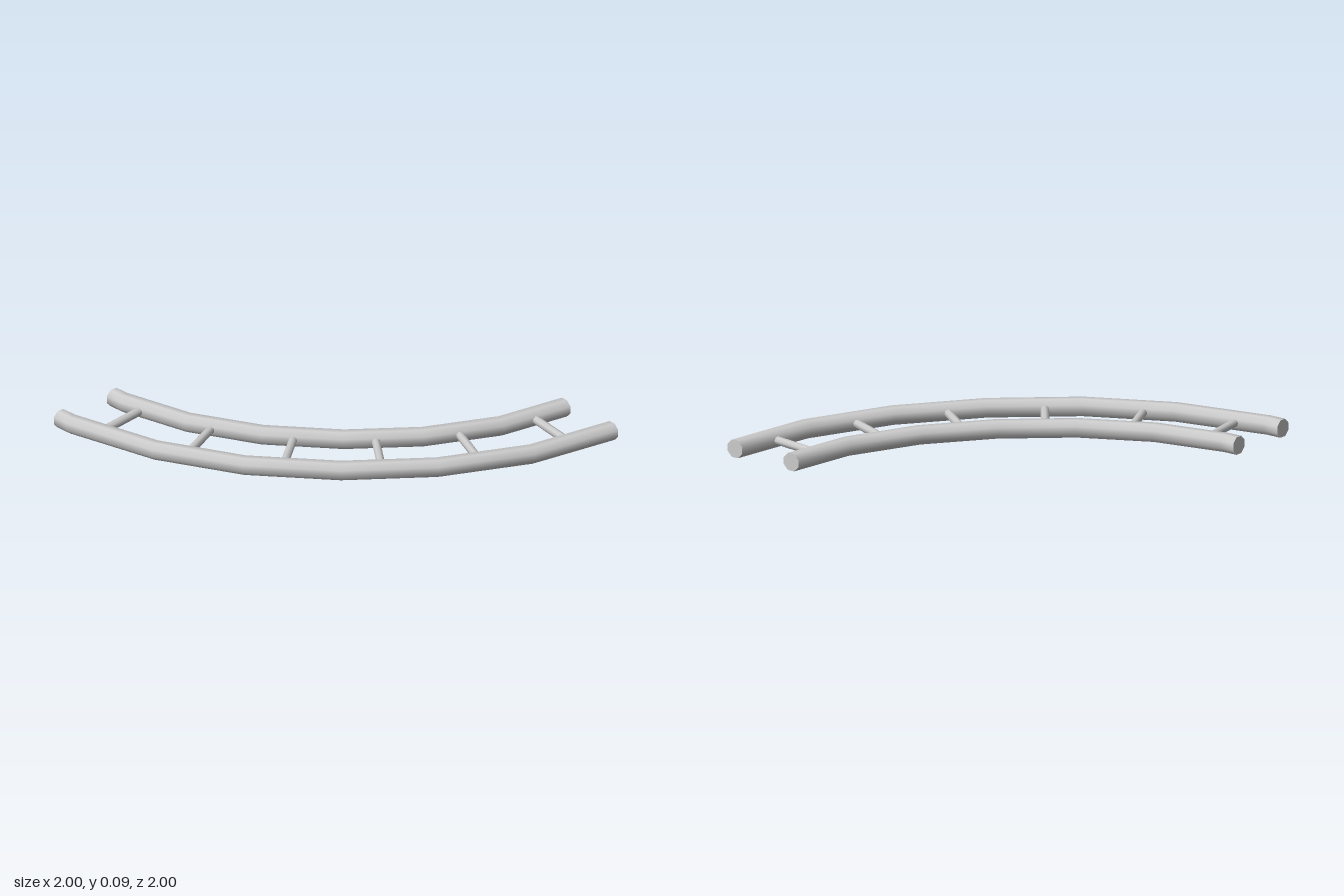
import * as THREE from 'three';
import { toCreasedNormals } from 'three/addons/utils/BufferGeometryUtils.js';

const SIDES = 8;
const HALF = 0.0455; // half thickness across the flats
const RADIUS = HALF / Math.cos(Math.PI / SIDES);

// Octagonal tube along a flat [x, z] path, mitred at each bend and cut square to the axes at its ends
function railGeometry(path) {
  const pts = path.map(([x, z]) => new THREE.Vector2(x, z));
  const last = pts.length - 1;
  const outward = (i) => {
    const d = pts[i + 1].clone().sub(pts[i]).normalize();
    return new THREE.Vector2(d.y, -d.x);
  };
  const pos = [], index = [];
  pts.forEach((p, i) => {
    const n = outward(Math.min(i, last - 1));
    let side;
    if (i === 0) side = new THREE.Vector2(1, 0);
    else if (i === last) side = new THREE.Vector2(0, 1);
    else side = outward(i - 1).add(n).normalize();
    const stretch = RADIUS / side.dot(n);
    for (let j = 0; j < SIDES; j++) {
      const a = ((j + 0.5) / SIDES) * Math.PI * 2;
      const w = Math.cos(a) * stretch;
      pos.push(p.x + side.x * w, HALF + Math.sin(a) * RADIUS, p.y + side.y * w);
    }
  });
  for (let i = 0; i < last; i++) {
    for (let j = 0; j < SIDES; j++) {
      const a = i * SIDES + j, b = i * SIDES + (j + 1) % SIDES;
      index.push(a, b, b + SIDES, a, b + SIDES, a + SIDES);
    }
  }
  // End caps
  const end = last * SIDES;
  for (let j = 1; j < SIDES - 1; j++) {
    index.push(0, j + 1, j, end, end + j, end + j + 1);
  }
  const geo = new THREE.BufferGeometry();
  geo.setAttribute('position', new THREE.Float32BufferAttribute(pos, 3));
  geo.setIndex(index);
  return toCreasedNormals(geo, 0.9);
}

export function createModel() {
  const group = new THREE.Group();
  group.name = 'curvedLadder';
  const material = new THREE.MeshStandardMaterial({ color: 0xcccccc });

  // Two curved side rails
  const rails = {
    outerRail: [[0.954, -1], [0.88, -0.52], [0.675, -0.073], [0.38, 0.31],
      [0.013, 0.625], [-0.412, 0.84], [-0.91, 0.953], [-1, 0.954]],
    innerRail: [[0.598, -1], [0.54, -0.62], [0.37, -0.25], [0.127, 0.063],
      [-0.182, 0.328], [-0.537, 0.51], [-0.914, 0.594], [-1, 0.596]],
  };
  for (const [name, path] of Object.entries(rails)) {
    const rail = new THREE.Mesh(railGeometry(path), material);
    rail.name = name;
    group.add(rail);
  }

  // Rungs between the rails: inner x, z then outer x, z
  const rungs = [
    [0.58, -0.803, 0.91, -0.752],
    [0.45, -0.413, 0.77, -0.277],
    [0.224, -0.062, 0.501, 0.142],
    [-0.062, 0.225, 0.152, 0.495],
    [-0.408, 0.467, -0.277, 0.753],
    [-0.798, 0.585, -0.752, 0.895],
  ];
  const up = new THREE.Vector3(0, 1, 0);
  rungs.forEach(([x1, z1, x2, z2], i) => {
    const a = new THREE.Vector3(x1, HALF, z1);
    const b = new THREE.Vector3(x2, HALF, z2);
    const dir = b.clone().sub(a);
    const rung = new THREE.Mesh(new THREE.CylinderGeometry(0.022, 0.022, dir.length(), SIDES), material);
    rung.position.copy(a).add(b).multiplyScalar(0.5);
    rung.quaternion.setFromUnitVectors(up, dir.normalize());
    rung.name = `rung${i + 1}`;
    group.add(rung);
  });
  return group;
}
